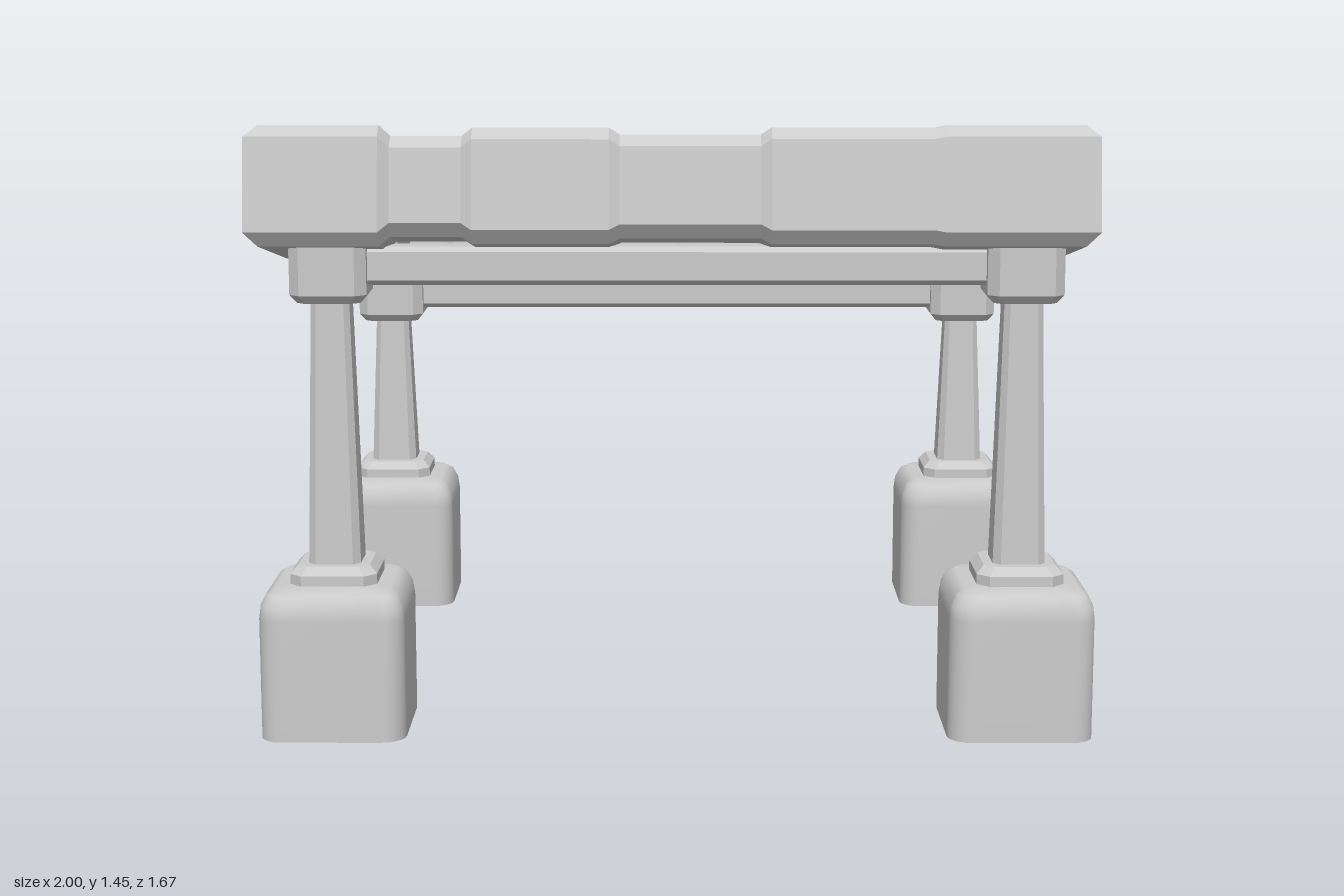
import * as THREE from 'three';

const flat = new THREE.MeshStandardMaterial({ color: 0xcccccc, flatShading: true });
const smooth = new THREE.MeshStandardMaterial({ color: 0xcccccc, side: THREE.DoubleSide });

// Skin over a list of closed rings of [x, y, z] points
function loft(rings, closed = false) {
  const n = rings[0].length, index = [];
  const last = closed ? rings.length : rings.length - 1;
  for (let i = 0; i < last; i++) {
    for (let j = 0; j < n; j++) {
      const a = i * n + j, b = i * n + (j + 1) % n;
      const k = ((i + 1) % rings.length) * n;
      const c = k + j, d = k + (j + 1) % n;
      index.push(a, c, b, b, c, d);
    }
  }
  const geo = new THREE.BufferGeometry();
  geo.setAttribute('position', new THREE.Float32BufferAttribute(rings.flat(2), 3));
  geo.setIndex(index);
  geo.computeVertexNormals();
  return geo;
}

// Square ring with rounded corners (steps = 1 gives a chamfer)
function squareRing(half, y, radius, steps) {
  const pts = [];
  for (let q = 0; q < 4; q++) {
    const mid = (q + 0.5) * Math.PI / 2;
    const cx = Math.sign(Math.cos(mid)) * (half - radius);
    const cz = Math.sign(Math.sin(mid)) * (half - radius);
    for (let s = 0; s <= steps; s++) {
      const a = (q + s / steps) * Math.PI / 2;
      pts.push([cx + radius * Math.cos(a), y, cz + radius * Math.sin(a)]);
    }
  }
  return pts;
}

// Octagonal outline: a rectangle with chamfered corners
function chamfered(w, h, c) {
  return [[w, -h + c], [w, h - c], [w - c, h], [-w + c, h],
    [-w, h - c], [-w, -h + c], [-w + c, -h], [w - c, -h]];
}

// Bar with a chamfered section, running along z and centred
function bar(w, h, c, length) {
  const shape = new THREE.Shape(chamfered(w, h, c).map(p => new THREE.Vector2(...p)));
  return new THREE.ExtrudeGeometry(shape, { depth: length, bevelEnabled: false }).translate(0, 0, -length / 2);
}

function add(parent, name, geo, material = flat) {
  const mesh = new THREE.Mesh(geo, material);
  mesh.name = name;
  parent.add(mesh);
  return mesh;
}

// Mitred frame whose beams swell and shrink along their length
function frameGeometry() {
  const CX = 0.865, CZ = 0.692, W = 0.118, H = 0.14, C = 0.03;
  // Each piece: start, end, half width, half height
  const sides = [
    { // front
      place: (t, u, y) => [t, y, CZ + u], corner: [-1, 1],
      pieces: [[-0.69, -0.675, W, H], [-0.65, -0.485, 0.1, 0.117], [-0.46, -0.145, 0.115, 0.134],
        [-0.12, 0.205, 0.102, 0.12], [0.23, 0.605, 0.115, 0.135], [0.63, 0.69, W, H]],
    },
    { // left
      place: (t, u, y) => [CX + u, y, t], corner: [1, 1],
      pieces: [[0.5, 0.44, W, H], [0.41, 0.14, 0.095, 0.122], [0.11, -0.22, 0.121, 0.137],
        [-0.25, -0.53, 0.098, 0.122], [-0.56, -0.57, W, H]],
    },
    { // back
      place: (t, u, y) => [t, y, -CZ - u], corner: [1, -1],
      pieces: [[0.69, 0.67, W, H], [0.64, 0.43, 0.108, 0.133], [0.38, 0.06, 0.132, 0.148],
        [0.01, -0.27, 0.108, 0.132], [-0.3, -0.62, 0.13, 0.146], [-0.65, -0.69, 0.112, 0.135]],
    },
    { // right
      place: (t, u, y) => [-CX - u, y, t], corner: [-1, -1],
      pieces: [[-0.5, -0.46, W, H], [-0.43, -0.12, 0.134, 0.155],
        [-0.09, 0.3, 0.112, 0.132], [0.35, 0.5, W, H]],
    },
  ];
  const rings = [];
  for (const { place, corner: [sx, sz], pieces } of sides) {
    rings.push(chamfered(W, H, C).map(([u, y]) => [sx * (CX + u), y, sz * (CZ + u)]));
    for (const [a, b, w, h] of pieces) {
      for (const t of [a, b]) rings.push(chamfered(w, h, C).map(([u, y]) => place(t, u, y)));
    }
  }
  return loft(rings, true);
}

// Foot, step, tapered post and capital
function makeLeg(name, capBottom, capTop) {
  const leg = new THREE.Group();
  leg.name = name;
  add(leg, 'foot', loft([[0.172, 0], [0.172, 0.29], [0.168, 0.32], [0.155, 0.347], [0.135, 0.36], [0.05, 0.362]]
    .map(([s, y]) => squareRing(s, y, s * 0.32, 5))), smooth);
  const block = rows => loft(rows.map(([s, y]) => squareRing(s, y, s * 0.28, 1)));
  add(leg, 'footStep', block([[0.103, 0.355], [0.103, 0.385], [0.085, 0.405], [0.03, 0.405]]));
  add(leg, 'post', block([[0.062, 0.4], [0.045, capBottom + 0.01]]));
  add(leg, 'capital', block([[0.03, capBottom], [0.074, capBottom], [0.09, capBottom + 0.02],
    [0.09, capTop], [0.03, capTop]]));
  return leg;
}

export function createModel() {
  const model = new THREE.Group();
  model.name = 'slopedTable';

  // Sloping top
  const top = new THREE.Group();
  top.name = 'slopedTop';
  top.position.y = 1.17;
  top.rotation.x = -0.178;
  model.add(top);
  add(top, 'frame', frameGeometry());
  const pitch = 0.3875;
  for (let i = 0; i < 4; i++) {
    add(top, 'plank', bar(pitch / 2, 0.035, 0.015, 1.3)).position.set(0.01 + (i - 1.5) * pitch, 0.05, 0);
  }

  // Legs in two rows, each row joined by a crossbar
  const rows = [
    { name: 'front', z: 0.665, cap: 1.03, capTop: 1.19, barY: 1.115 },
    { name: 'back', z: -0.61, cap: 0.81, capTop: 0.98, barY: 0.89 },
  ];
  for (const { name, z, cap, capTop, barY } of rows) {
    for (const [side, x] of [['Left', 0.825], ['Right', -0.802]]) {
      const leg = makeLeg(`${name}${side}Leg`, cap, capTop);
      leg.position.set(x, 0, z);
      model.add(leg);
    }
    const cross = add(model, `${name}Crossbar`, bar(0.045, 0.045, 0.012, 1.55));
    cross.rotation.y = Math.PI / 2;
    cross.position.set(0.012, barY, z);
  }
  return model;
}
